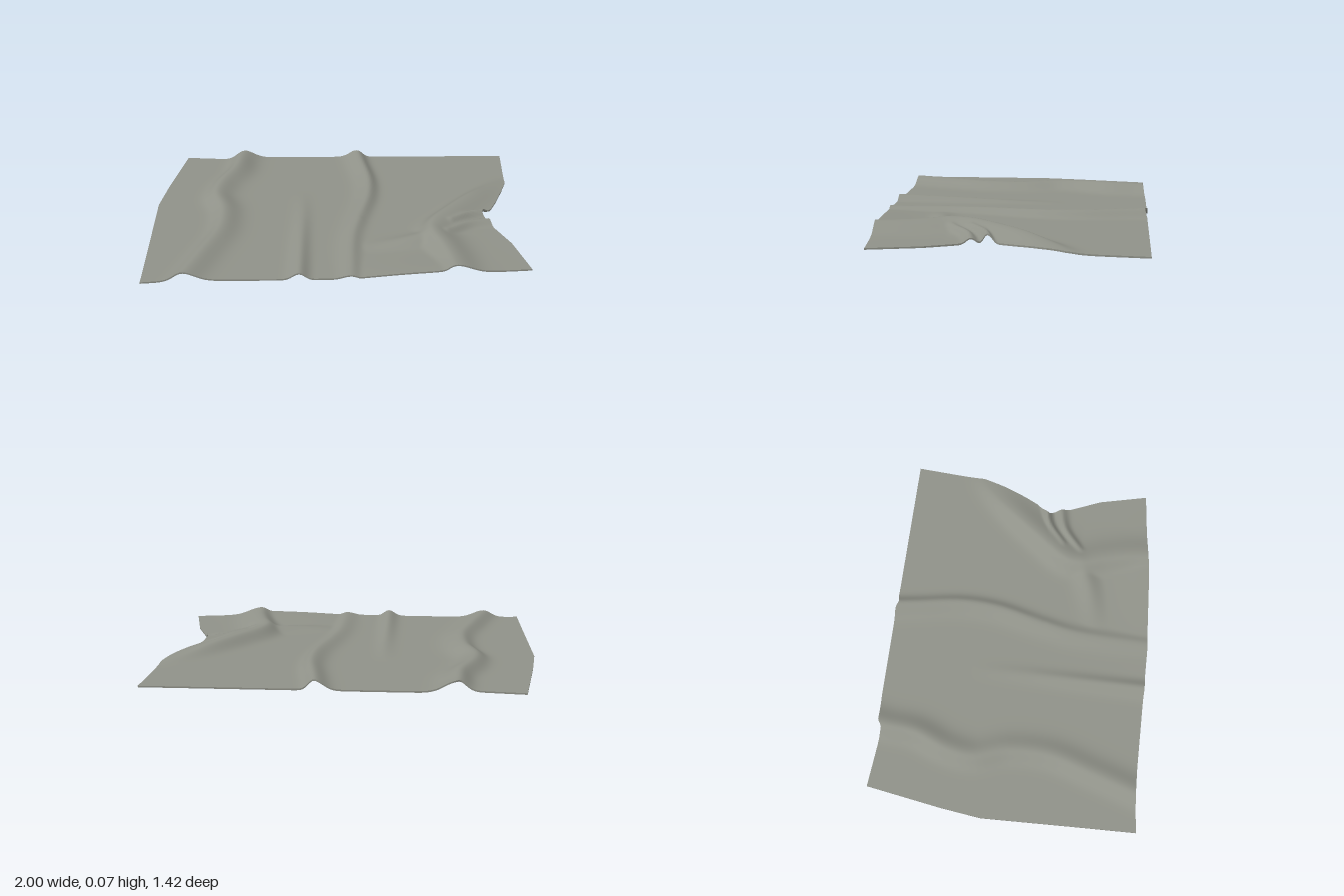
import * as THREE from 'three';

const NU = 150, NV = 110, THICK = 0.008;

// Outline edges: back and front give z for x, left and right give x for v (0 back, 1 front)
const BACK = [[-0.9, -0.715], [-0.58, -0.685], [-0.55, -0.705], [-0.4, -0.715], [0.1, -0.715], [0.14, -0.7], [0.19, -0.712], [1, -0.71]];
const FRONT = [[-0.98, 0.71], [-0.78, 0.69], [0, 0.695], [0.48, 0.67], [0.6, 0.653], [0.96, 0.62]];
const LEFT = [[0, -0.9], [0.28, -0.97], [0.43, -1], [0.78, -0.99], [1, -0.985]];
const RIGHT = [[0, 1], [0.29, 0.97], [0.38, 0.93], [0.47, 0.88], [0.53, 0.84], [0.56, 0.8], [0.58, 0.78], [0.6, 0.8], [0.67, 0.83], [0.8, 0.9], [1, 0.96]];

function lookup(table, t) {
  if (t <= table[0][0]) return table[0][1];
  for (let i = 1; i < table.length; i++) {
    const [a, p] = table[i - 1], [b, q] = table[i];
    if (t <= b) return p + (q - p) * (t - a) / (b - a);
  }
  return table[table.length - 1][1];
}

// Folds: crest points [x, height, z], with a width on the left and on the right of the crest
const FOLDS = [
  { l: 0.055, r: 0.08, p: [[-0.55, 0.052, -0.76], [-0.57, 0.054, -0.66], [-0.59, 0.057, -0.5], [-0.66, 0.05, -0.32], [-0.68, 0.046, -0.18], [-0.63, 0.044, 0], [-0.63, 0.044, 0.22], [-0.7, 0.044, 0.45], [-0.8, 0.043, 0.75]] },
  { l: 0.045, r: 0.04, p: [[-0.2, 0, -0.25], [-0.195, 0.01, 0], [-0.2, 0.024, 0.35], [-0.205, 0.036, 0.75]] },
  { l: 0.06, r: 0.04, p: [[0.12, 0.05, -0.78], [0.145, 0.045, -0.6], [0.18, 0.042, -0.35], [0.17, 0.038, -0.15], [0.11, 0.031, 0.1], [0.07, 0.025, 0.3], [0.05, 0.018, 0.75]] },
  { l: 0.06, r: 0.11, p: [[1, 0.004, -0.36], [0.87, 0.026, -0.25], [0.75, 0.05, -0.12], [0.62, 0.06, 0.04], [0.51, 0.062, 0.19], [0.49, 0.06, 0.28], [0.53, 0.055, 0.42], [0.56, 0.053, 0.55], [0.58, 0.05, 0.72]] },
  { l: 0.06, r: 0.06, p: [[0.5, 0.035, 0.28], [0.35, 0.025, 0.34], [0.1, 0, 0.4]] },
  { l: 0.025, r: 0.03, p: [[0.6, 0.045, 0.17], [0.72, 0.046, 0.08], [0.84, 0.04, 0.05]] },
  { l: 0.03, r: 0.03, p: [[0.57, 0.04, 0.27], [0.7, 0.035, 0.17], [0.86, 0.024, 0.13]] },
  { l: 0.16, r: 0.2, p: [[0.08, 0.004, 0.74], [0.3, 0.018, 0.72], [0.5, 0.026, 0.7]] },
].map(f => ({
  ...f,
  c: new THREE.CatmullRomCurve3(f.p.map(q => new THREE.Vector3(...q)), false, 'centripetal').getPoints(f.p.length * 5),
}));

// Height of one fold, falling off with distance from its crest
function foldHeight({ c, l, r }, x, z) {
  let best = Infinity, h = 0, side = 0;
  for (let i = 1; i < c.length; i++) {
    const a = c[i - 1], tx = c[i].x - a.x, tz = c[i].z - a.z;
    const k = THREE.MathUtils.clamp(((x - a.x) * tx + (z - a.z) * tz) / (tx * tx + tz * tz), 0, 1);
    const dx = x - a.x - tx * k, dz = z - a.z - tz * k, d = dx * dx + dz * dz;
    if (d < best) {
      best = d;
      h = a.y + (c[i].y - a.y) * k;
      side = tx * dz - tz * dx;
    }
  }
  const w = side > 0 ? l : r;
  return Math.max(0, h) * Math.exp(-best / (w * w));
}

// Folds blend by a soft maximum
function clothHeight(x, z) {
  let sum = 0;
  for (const f of FOLDS) sum += foldHeight(f, x, z) ** 4;
  return sum ** 0.25;
}

function clothPoint(i, j) {
  const u = i / NU, v = j / NV;
  const x = THREE.MathUtils.lerp(lookup(LEFT, v), lookup(RIGHT, v), u);
  const z = THREE.MathUtils.lerp(lookup(BACK, x), lookup(FRONT, x), v);
  return [x, clothHeight(x, z), z];
}

// Surface over a grid of points, reversed for faces turned the other way
function gridGeometry(cols, rows, point, reversed) {
  const pos = [], index = [];
  for (let j = 0; j <= rows; j++) for (let i = 0; i <= cols; i++) pos.push(...point(i, j));
  for (let j = 0; j < rows; j++) for (let i = 0; i < cols; i++) {
    const a = j * (cols + 1) + i, b = a + 1, c = a + cols + 1, d = c + 1;
    if (reversed) index.push(a, b, c, b, d, c);
    else index.push(a, c, b, b, c, d);
  }
  const g = new THREE.BufferGeometry();
  g.setAttribute('position', new THREE.Float32BufferAttribute(pos, 3));
  g.setIndex(index);
  g.computeVertexNormals();
  return g;
}

export function createModel() {
  const group = new THREE.Group();
  group.name = 'crumpledCloth';
  const cloth = new THREE.MeshStandardMaterial({ color: 0x8f9188 });
  cloth.name = 'greyCloth';

  const points = [];
  for (let j = 0; j <= NV; j++) for (let i = 0; i <= NU; i++) points.push(clothPoint(i, j));
  const at = (i, j, lift) => {
    const [x, y, z] = points[j * (NU + 1) + i];
    return [x, y + lift, z];
  };
  const add = (name, geometry) => {
    const mesh = new THREE.Mesh(geometry, cloth);
    mesh.name = name;
    group.add(mesh);
  };

  // Upper and lower faces of the sheet
  add('clothTop', gridGeometry(NU, NV, (i, j) => at(i, j, THICK), false));
  add('clothUnderside', gridGeometry(NU, NV, (i, j) => at(i, j, 0), true));

  // Narrow hems closing the four sides
  const lift = j => (1 - j) * THICK;
  add('frontHem', gridGeometry(NU, 1, (i, j) => at(i, NV, lift(j)), false));
  add('backHem', gridGeometry(NU, 1, (i, j) => at(i, 0, lift(j)), true));
  add('leftHem', gridGeometry(NV, 1, (i, j) => at(NU, i, lift(j)), true));
  add('rightHem', gridGeometry(NV, 1, (i, j) => at(0, i, lift(j)), false));
  return group;
}
